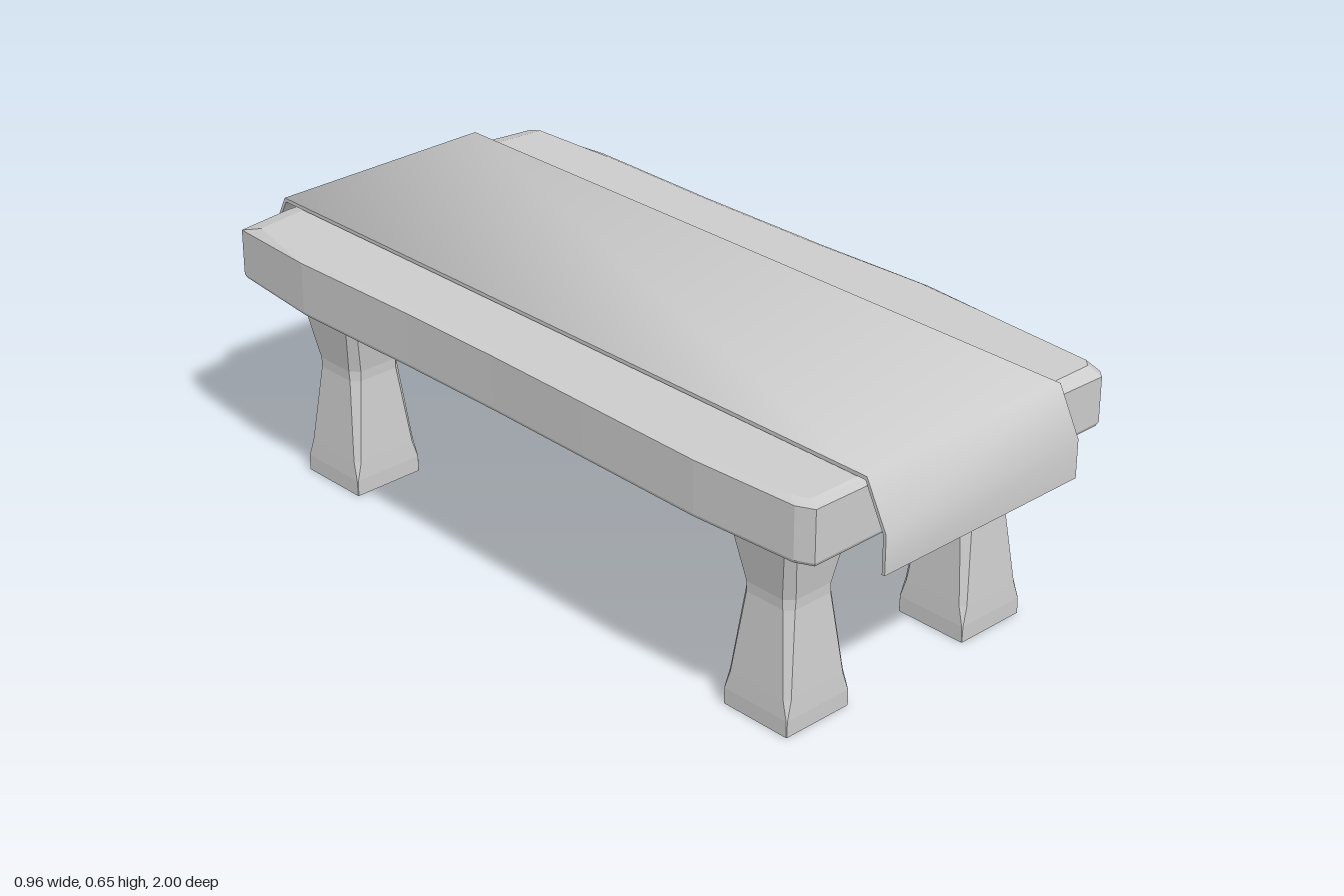
import * as THREE from 'three';
import { toCreasedNormals } from 'three/addons/utils/BufferGeometryUtils.js';

const flat = new THREE.MeshStandardMaterial({ color: 0xcccccc, flatShading: true });
const smooth = new THREE.MeshStandardMaterial({ color: 0xcccccc, side: THREE.DoubleSide });

// Closed solid from rings of [x, y, z], bottom to top, counter-clockwise from above
function loft(rings) {
  const n = rings[0].length, last = rings.length - 1;
  const pos = rings.flat(2), index = [];
  const centre = (ring) => [0, ring.reduce((s, p) => s + p[1], 0) / n, 0];
  pos.push(...centre(rings[0]), ...centre(rings[last]));
  const low = n * rings.length, high = low + 1;
  for (let j = 0; j < n; j++) {
    const k = (j + 1) % n;
    for (let i = 0; i < last; i++) {
      const a = i * n + j, b = i * n + k;
      index.push(a, b, a + n, b, b + n, a + n);
    }
    index.push(low, k, j, high, last * n + j, last * n + k);
  }
  const g = new THREE.BufferGeometry();
  g.setAttribute('position', new THREE.Float32BufferAttribute(pos, 3));
  g.setIndex(index);
  const out = g.toNonIndexed();
  out.computeVertexNormals();
  return out;
}

// Uneven slab with a worn upper rim: x, z, rim height
function tableTop() {
  const outline = [
    [0.43, 0.94, 0.615], [0.448, 0.92, 0.615], [0.465, 0.63, 0.624], [0.477, 0.4, 0.628],
    [0.46, 0.08, 0.63], [0.455, -0.29, 0.63], [0.46, -0.66, 0.63], [0.45, -0.92, 0.618],
    [0.29, -0.94, 0.62], [-0.3, -0.94, 0.62], [-0.45, -0.92, 0.62], [-0.476, -0.66, 0.63],
    [-0.47, -0.29, 0.631], [-0.47, 0, 0.631], [-0.475, 0.29, 0.631], [-0.48, 0.63, 0.63],
    [-0.465, 0.9, 0.629], [-0.445, 0.94, 0.629], [0, 0.94, 0.624],
  ];
  const ring = (f) => outline.map(f);
  const mesh = new THREE.Mesh(loft([
    ring(([x, z]) => [x * 0.99, 0.497, z * 0.995]),
    ring(([x, z]) => [x, 0.506, z]),
    ring(([x, z, y]) => [x, y, z]),
    ring(([x, z]) => [x * 0.965, 0.637, z * (z < 0 ? 0.94 : 0.97)]),
  ]), flat);
  mesh.name = 'tableTop';
  return mesh;
}

// Hourglass leg: height, half width, corner chamfer
function legGeometry() {
  const levels = [
    [0, 0.0935, 0.001], [0.04, 0.0935, 0.002], [0.085, 0.09, 0.012], [0.285, 0.071, 0.018],
    [0.31, 0.072, 0.02], [0.46, 0.098, 0.018], [0.485, 0.102, 0.01], [0.502, 0.102, 0.007],
  ];
  return loft(levels.map(([y, h, c]) => {
    const s = h - c;
    return [[h, s], [h, -s], [s, -h], [-s, -h], [-h, -s], [-h, s], [-s, h], [s, h]]
      .map(([x, z]) => [x, y, z]);
  }));
}

// Cloth strip hanging over both ends
function runner() {
  const half = [[1, 0.447], [1, 0.54], [0.943, 0.651]];
  const inner = [[0.992, 0.447], [0.992, 0.538], [0.939, 0.642]];
  const mirror = (pts) => pts.map(([z, y]) => [-z, y]).reverse();
  const profile = [...half, ...mirror(half), ...mirror(inner).reverse(), ...inner.slice().reverse()];
  const shape = new THREE.Shape(profile.map(([z, y]) => new THREE.Vector2(z, y)));
  const g = new THREE.ExtrudeGeometry(shape, { depth: 0.592, bevelEnabled: false });
  g.rotateY(-Math.PI / 2);
  g.translate(0.287, 0, 0);
  const mesh = new THREE.Mesh(toCreasedNormals(g, 1.2), smooth);
  mesh.name = 'tableRunner';
  return mesh;
}

export function createModel() {
  const table = new THREE.Group();
  table.name = 'table';
  table.add(tableTop(), runner());

  const leg = legGeometry();
  for (const [side, x] of [['Left', 0.267], ['Right', -0.282]]) {
    for (const [end, z] of [['front', 0.714], ['back', -0.714]]) {
      const mesh = new THREE.Mesh(leg, flat);
      mesh.name = `${end}${side}Leg`;
      mesh.position.set(x, 0, z);
      table.add(mesh);
    }
  }
  return table;
}
